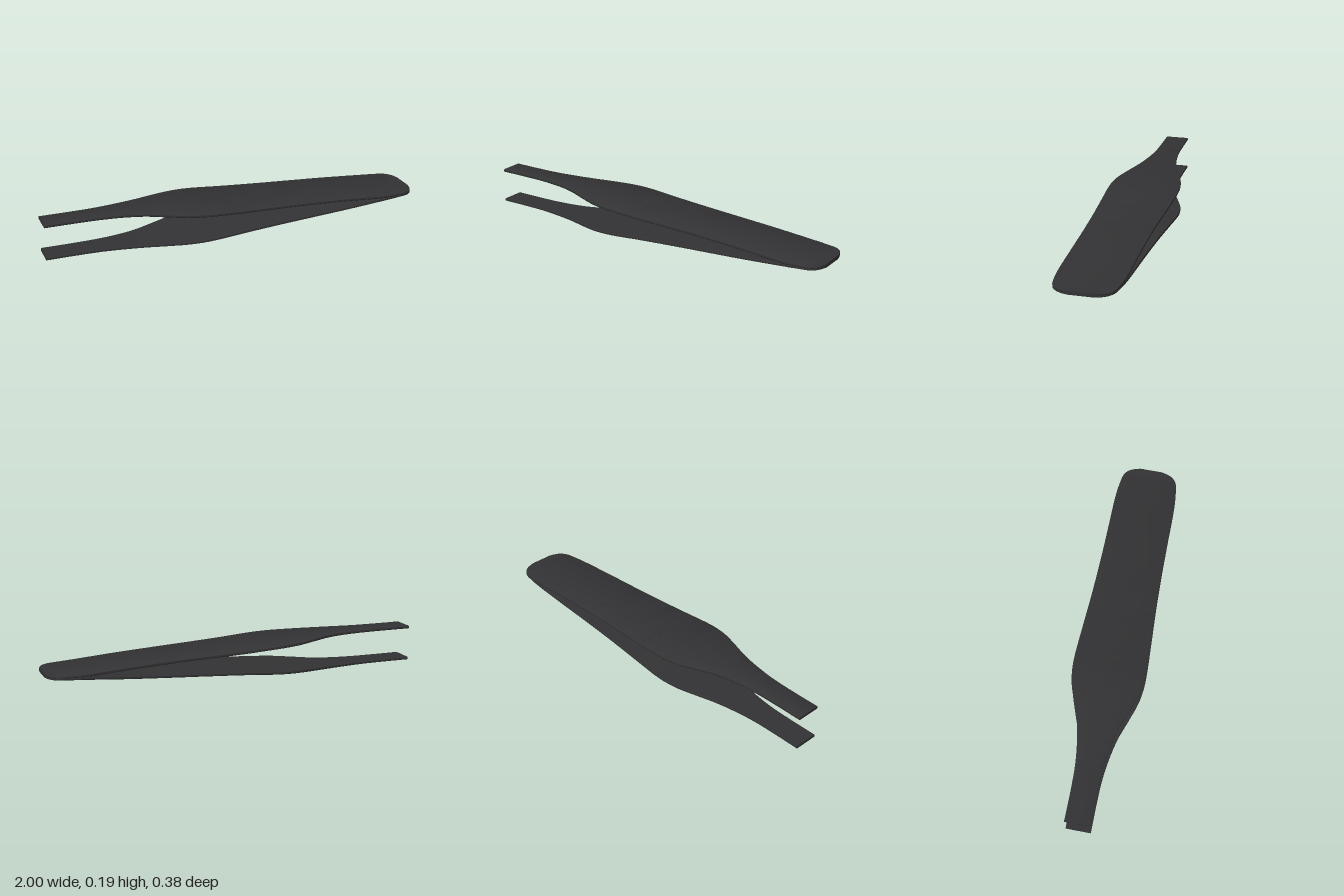
import * as THREE from 'three';
import { toCreasedNormals } from 'three/addons/utils/BufferGeometryUtils.js';

const MID = 0.0955; // height of the plane where the two blades meet

// Blade spine: x, height of outer face above the middle plane, half width
const spine = new THREE.CatmullRomCurve3([
  [-1, 0.0945, 0.064], [-0.85, 0.0945, 0.064], [-0.72, 0.0945, 0.068], [-0.6, 0.0945, 0.083],
  [-0.5, 0.0925, 0.105], [-0.4, 0.087, 0.14], [-0.3, 0.081, 0.173], [-0.22, 0.077, 0.186],
  [-0.15, 0.073, 0.188], [0, 0.063, 0.182], [0.2, 0.053, 0.172], [0.4, 0.043, 0.166],
  [0.6, 0.031, 0.164], [0.8, 0.016, 0.163], [0.88, 0.012, 0.157], [0.95, 0.0105, 0.143],
  [0.98, 0.01, 0.118], [0.995, 0.01, 0.085], [1, 0.01, 0.065],
].map(p => new THREE.Vector3(...p)));

const stations = spine.getPoints(144);

// Chamfered strip cross-section at one station
function section({ x, y, z: w }) {
  const t = Math.min(0.015, y + 0.001); // thinner where the blades touch
  const c = 0.003, b = y - t;
  return [
    [w - 2 * c, y], [w, y - c], [w, b + c], [w - c, b],
    [c - w, b], [-w, b + c], [-w, y - c], [2 * c - w, y],
  ].map(([z, h]) => [x, h, z]);
}

function bladeGeometry() {
  const rings = stations.map(section), n = rings[0].length;
  const index = [];
  for (let i = 0; i < rings.length - 1; i++) {
    for (let j = 0; j < n; j++) {
      const a = i * n + j, b = i * n + (j + 1) % n;
      index.push(a, b, a + n, b, b + n, a + n);
    }
  }
  // end caps
  const last = (rings.length - 1) * n;
  for (let j = 1; j < n - 1; j++) {
    index.push(0, j + 1, j, last, last + j, last + j + 1);
  }
  const g = new THREE.BufferGeometry();
  g.setAttribute('position', new THREE.Float32BufferAttribute(rings.flat(2), 3));
  // swap winding so that faces point outwards
  for (let k = 0; k < index.length; k += 3) [index[k + 1], index[k + 2]] = [index[k + 2], index[k + 1]];
  g.setIndex(index);
  return toCreasedNormals(g, 0.5);
}

export function createModel() {
  const group = new THREE.Group();
  const material = new THREE.MeshStandardMaterial({ color: 0x333335, side: THREE.DoubleSide });
  const geometry = bladeGeometry();
  orientOutward(geometry);

  for (const [name, turn] of [['upper', 0], ['lower', Math.PI]]) {
    const arm = new THREE.Group();
    arm.name = name + 'Arm';
    const blade = new THREE.Mesh(geometry, material);
    blade.name = name + 'Blade';
    arm.add(blade);

    // hairline grip ridges across the outer face
    for (const x of [-0.05, 0.17, 0.35]) {
      const i = stations.findIndex(p => p.x >= x), p = stations[i], q = stations[i + 1];
      const ridge = new THREE.Mesh(new THREE.BoxGeometry(0.008, 0.002, 2 * p.z - 0.04), material);
      ridge.name = 'gripRidge';
      ridge.position.set(p.x, p.y - 0.0004, 0);
      ridge.rotation.z = Math.atan2(q.y - p.y, q.x - p.x);
      arm.add(ridge);
    }
    arm.rotation.x = turn; // the lower arm is the upper one turned over
    arm.position.y = MID;
    group.add(arm);
  }
  return group;
}

// Reverse the triangles if the enclosed volume comes out negative
function orientOutward(g) {
  const p = g.attributes.position, a = new THREE.Vector3(), b = new THREE.Vector3(), c = new THREE.Vector3();
  let volume = 0;
  for (let i = 0; i < p.count; i += 3) {
    a.fromBufferAttribute(p, i); b.fromBufferAttribute(p, i + 1); c.fromBufferAttribute(p, i + 2);
    volume += a.dot(b.cross(c));
  }
  if (volume >= 0) return;
  for (const attr of [p, g.attributes.normal]) {
    for (let i = 0; i < attr.count; i += 3) {
      b.fromBufferAttribute(attr, i + 1); c.fromBufferAttribute(attr, i + 2);
      attr.setXYZ(i + 1, c.x, c.y, c.z); attr.setXYZ(i + 2, b.x, b.y, b.z);
    }
  }
  const nrm = g.attributes.normal;
  for (let i = 0; i < nrm.count; i++) nrm.setXYZ(i, -nrm.getX(i), -nrm.getY(i), -nrm.getZ(i));
}
